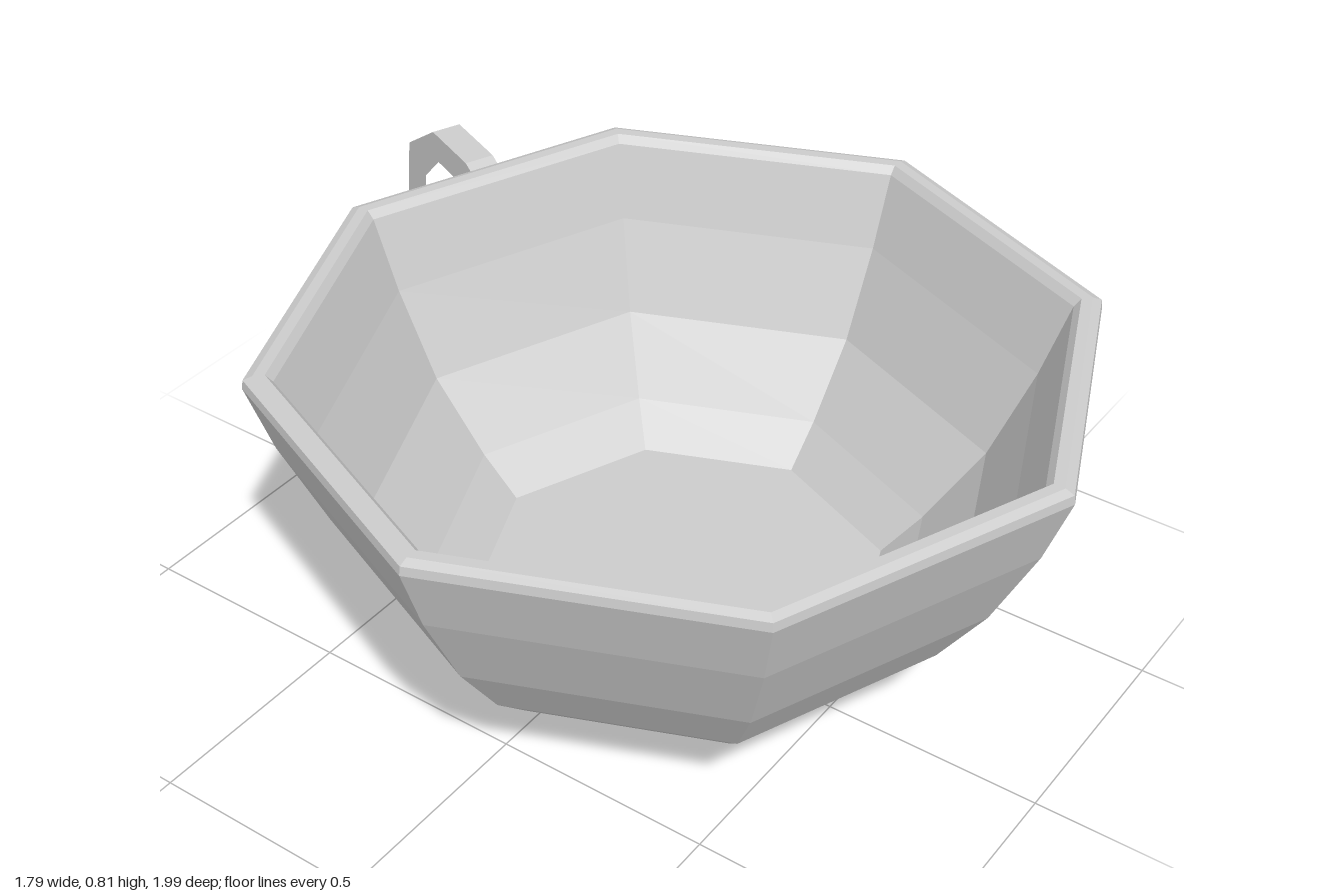
import * as THREE from 'three';

const material = new THREE.MeshStandardMaterial({ color: 0xcccccc, flatShading: true });
const CENTER_Z = 0.1; // bowl axis; the handle sticks out towards the back
const SIDES = 8;

const toPoints = (list) => list.map(([x, y]) => new THREE.Vector2(x, y));

function lathePart(name, profile) {
  const mesh = new THREE.Mesh(new THREE.LatheGeometry(toPoints(profile), SIDES), material);
  mesh.name = name;
  mesh.position.z = CENTER_Z;
  return mesh;
}

export function createModel() {
  const model = new THREE.Group();
  model.name = 'cup';

  // Eight-sided bowl: outside wall, rim, then inside wall down to the floor
  model.add(lathePart('bowl', [
    [0, 0.06], [0.3, 0.06], [0.42, 0.1], [0.555, 0.195], [0.64, 0.275],
    [0.745, 0.43], [0.84, 0.63], [0.893, 0.785], [0.89, 0.805], [0.87, 0.813],
    [0.845, 0.813], [0.83, 0.795],
    [0.77, 0.63], [0.675, 0.43], [0.545, 0.27], [0.455, 0.185], [0, 0.185],
  ]));

  // Foot under the bowl
  model.add(lathePart('foot', [[0, 0], [0.3, 0], [0.288, 0.065], [0, 0.065]]));

  // Ring handle, drawn as (distance from bowl axis, height)
  const ring = new THREE.Shape(toPoints([
    [0.79, 0.77], [0.86, 0.805], [1.02, 0.81], [1.15, 0.72], [1.176, 0.55],
    [1.09, 0.385], [0.9, 0.35], [0.74, 0.46], [0.72, 0.58],
  ]));
  ring.holes.push(new THREE.Path(toPoints([
    [0.82, 0.7], [0.88, 0.735], [1.0, 0.74], [1.07, 0.67], [1.09, 0.55],
    [1.035, 0.455], [0.91, 0.43], [0.81, 0.495], [0.785, 0.6],
  ])));
  const thickness = 0.07;
  const geometry = new THREE.ExtrudeGeometry(ring, { depth: thickness, bevelEnabled: false });
  geometry.translate(0, 0, -thickness / 2);
  const handle = new THREE.Mesh(geometry, material);
  handle.name = 'handle';
  handle.position.z = CENTER_Z;
  handle.rotation.y = THREE.MathUtils.degToRad(67.5); // middle of a back face
  model.add(handle);

  return model;
}
